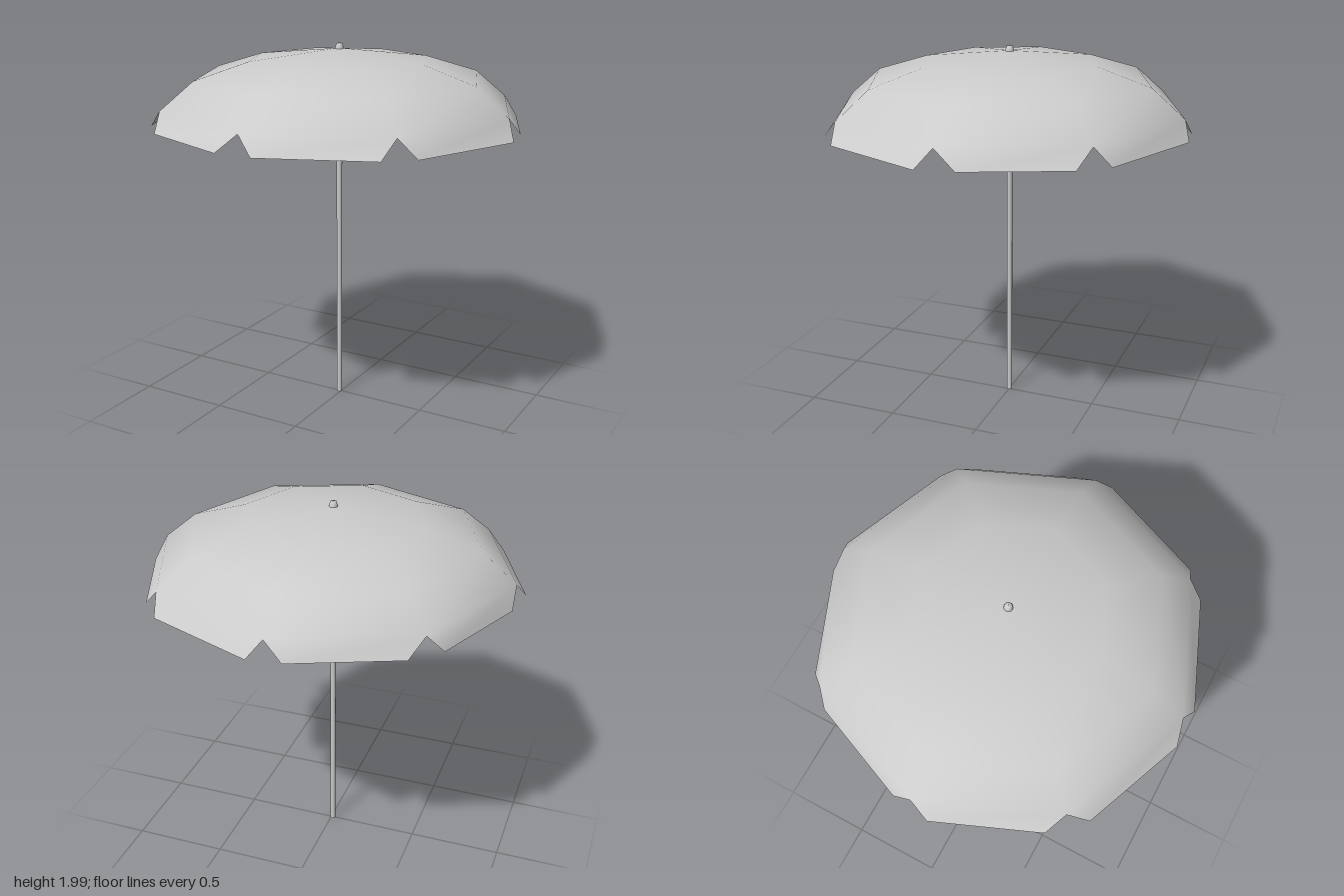
import * as THREE from 'three';

const AXIS_X = -0.01; // the pole stands a touch off the centre of the skirt
const RIBS = 8;

export function createModel() {
  const group = new THREE.Group();
  group.name = 'parasol';
  const grey = new THREE.MeshStandardMaterial({ color: 0xcccccc });
  const cloth = new THREE.MeshStandardMaterial({ color: 0xcccccc, side: THREE.DoubleSide });

  const add = (name, geometry, material) => {
    const mesh = new THREE.Mesh(geometry, material);
    mesh.name = name;
    group.add(mesh);
    return mesh;
  };

  // Canopy: eight-sided rings [radius, height] below one apex point
  const rings = [[0.485, 1.91], [0.778, 1.82], [0.955, 1.675]];
  const positions = [AXIS_X, 1.965, 0];
  const index = [];
  for (const [r, y] of rings) {
    for (let i = 0; i < RIBS; i++) {
      const a = (i / RIBS) * Math.PI * 2;
      positions.push(AXIS_X + r * Math.cos(a), y, r * 0.985 * Math.sin(a));
    }
  }
  const at = (ring, i) => 1 + ring * RIBS + (i % RIBS);
  const quad = (a, b, c, d) => index.push(a, b, c, a, c, d);
  for (let i = 0; i < RIBS; i++) {
    index.push(0, at(0, i + 1), at(0, i));
    for (let k = 0; k < rings.length - 1; k++) {
      quad(at(k, i), at(k, i + 1), at(k + 1, i + 1), at(k + 1, i));
    }
  }

  // Skirt: one hanging flap per side, lower corners [x, z, x, z], notched at the ribs
  const flaps = [
    [1.0, 0.075, 0.76, 0.64], [0.63, 0.755, 0.08, 0.975],
    [-0.12, 0.975, -0.64, 0.77], [-0.79, 0.61, -1.0, 0.1],
    [-0.97, -0.1, -0.76, -0.61], [-0.625, -0.745, -0.105, -0.96],
    [0.065, -0.98, 0.64, -0.75], [0.755, -0.615, 0.965, -0.115],
  ];
  flaps.forEach(([x0, z0, x1, z1], i) => {
    const n = positions.length / 3;
    positions.push(x0, 1.58, z0, x1, 1.58, z1);
    quad(at(2, i), at(2, i + 1), n + 1, n);
  });
  const canopy = new THREE.BufferGeometry();
  canopy.setAttribute('position', new THREE.Float32BufferAttribute(positions, 3));
  canopy.setIndex(index);
  canopy.computeVertexNormals();
  add('canopy', canopy, cloth);

  // Pole, widening slightly under the canopy
  const lower = add('pole', new THREE.CylinderGeometry(0.015, 0.015, 1.33, 12), grey);
  lower.position.set(AXIS_X, 0.665, 0);
  const upper = add('poleTop', new THREE.CylinderGeometry(0.022, 0.015, 0.63, 12), grey);
  upper.position.set(AXIS_X, 1.645, 0);

  // Finial knob on the apex
  const profile = [[0.024, 1.955], [0.021, 1.972], [0.015, 1.99], [0, 1.99]];
  const finial = add('finial', new THREE.LatheGeometry(
    profile.map(([r, y]) => new THREE.Vector2(r, y)), 12), grey);
  finial.position.x = AXIS_X;

  return group;
}
